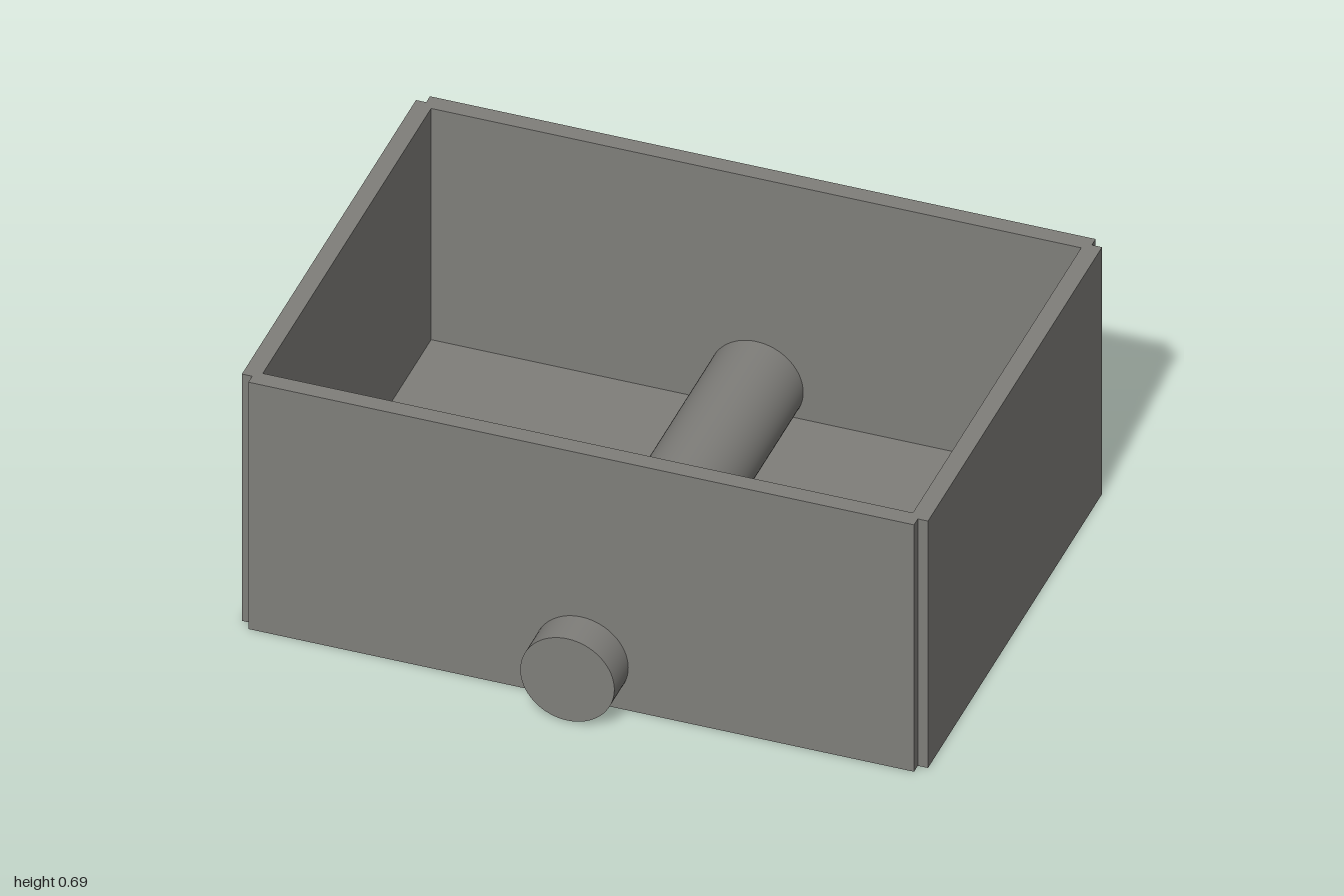
import * as THREE from 'three';

export function createModel() {
  const model = new THREE.Group();
  model.name = 'openBoxWithRod';
  const grey = new THREE.MeshStandardMaterial({ color: 0x7f7e7a });
  grey.name = 'warm grey';

  const height = 0.695;
  const wall = 0.044;
  const halfX = 0.601; // outer face of the long walls
  const halfZ = 0.838; // outer face of the end walls
  const notch = 0.025; // small step left open at each corner

  const add = (name, geometry, x, y, z) => {
    const mesh = new THREE.Mesh(geometry, grey);
    mesh.name = name;
    mesh.position.set(x, y, z);
    model.add(mesh);
    return mesh;
  };

  // Four walls, overlapping in stepped corners
  const sideGeo = new THREE.BoxGeometry(wall, height, 2 * (halfZ - notch));
  const endGeo = new THREE.BoxGeometry(2 * (halfX - notch), height, wall);
  for (const s of [-1, 1]) {
    add(s > 0 ? 'rightSideWall' : 'leftSideWall', sideGeo, s * (halfX - wall / 2), height / 2, 0);
    add(s > 0 ? 'frontEndWall' : 'backEndWall', endGeo, 0, height / 2, s * (halfZ - wall / 2));
  }

  // Floor between the walls
  add('floor', new THREE.BoxGeometry(2 * (halfX - wall), wall, 2 * (halfZ - wall)), 0, wall / 2, 0);

  // Rod passing through both long walls
  const rod = add('rod', new THREE.CylinderGeometry(0.115, 0.115, 1.386, 64), 0, 0.12, 0);
  rod.rotation.z = Math.PI / 2;

  // The box stands diagonally
  model.rotation.y = Math.PI / 4;
  const root = new THREE.Group();
  root.name = 'model';
  root.add(model);
  return root;
}
